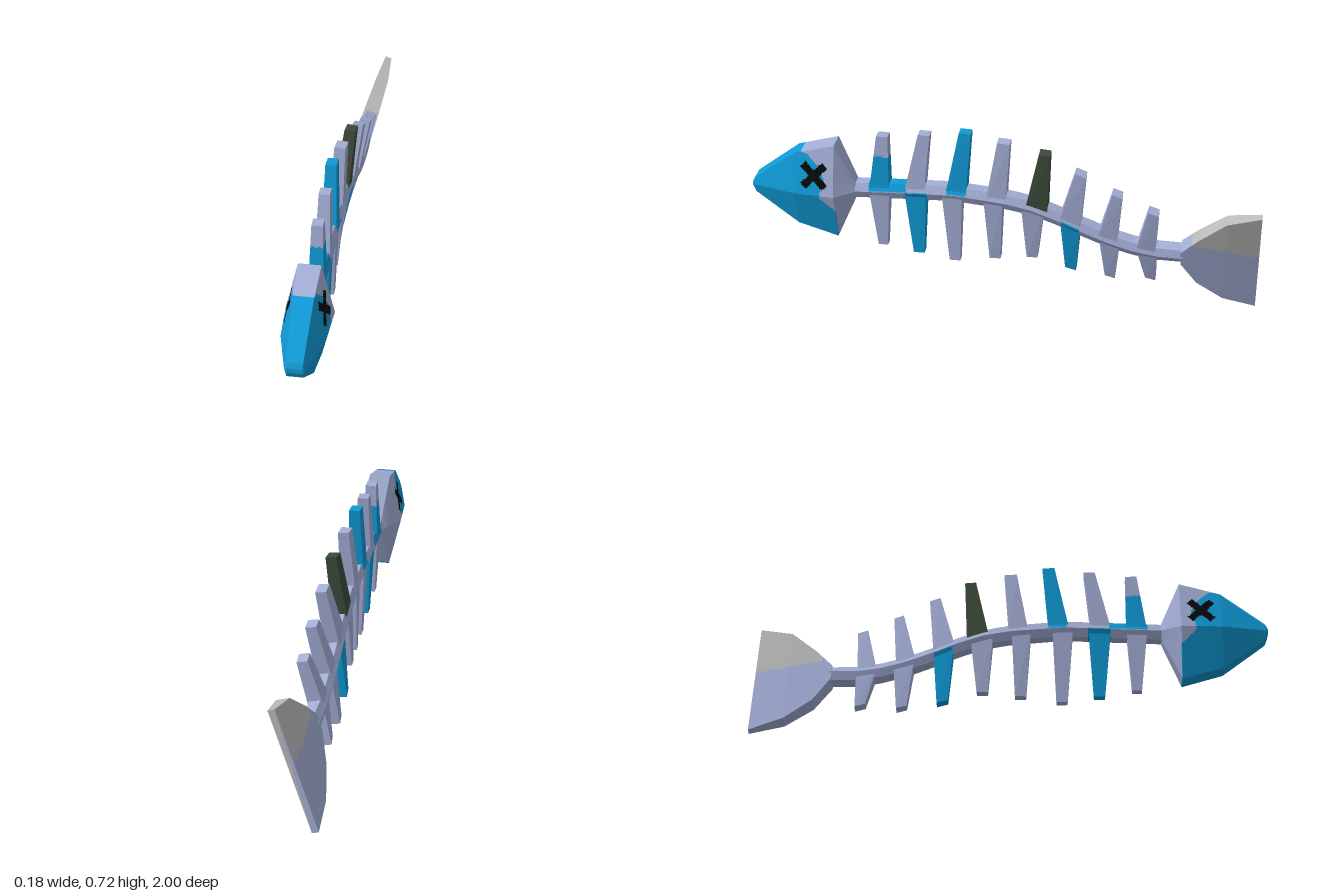
import * as THREE from 'three';

const mat = (name, color) => Object.assign(new THREE.MeshStandardMaterial({ color, flatShading: true }), { name });

// Piecewise-linear lookup in rows of [key, value], keys ascending
function lookup(rows, k) {
  if (k <= rows[0][0]) return rows[0][1];
  for (let i = 1; i < rows.length; i++) {
    const [k0, v0] = rows[i - 1], [k1, v1] = rows[i];
    if (k <= k1) return v0 + (v1 - v0) * (k - k0) / (k1 - k0);
  }
  return rows[rows.length - 1][1];
}

// Height of the backbone centre and its gradual roll towards the tail
const SPINE = [[-0.72, 0.268], [-0.6, 0.268], [-0.5, 0.283], [-0.4, 0.312], [-0.3, 0.35], [-0.2, 0.392],
  [-0.1, 0.424], [0, 0.44], [0.2, 0.455], [0.4, 0.445], [0.6, 0.435]];
const spineY = z => lookup(SPINE, z);
const roll = z => THREE.MathUtils.degToRad(17) * THREE.MathUtils.clamp((0.15 - z) / 0.9, 0, 1);

function rolled(x, y, z) {
  const a = roll(z), cy = spineY(z), dy = y - cy;
  return new THREE.Vector3(x * Math.cos(a) + dy * Math.sin(a), cy + dy * Math.cos(a) - x * Math.sin(a), z);
}

// Six-sided ring: flat top and bottom, widest at the middle
const hexRing = (z, top, mid, bottom, w, wMid) =>
  [[wMid, mid], [w, top], [-w, top], [-wMid, mid], [-w, bottom], [w, bottom]].map(([x, y]) => rolled(x, y, z));

// Lofted closed solid; each small cell takes the material chosen by paint(point)
function loft(name, rings, materials, paint = () => 0, n = 1) {
  const buckets = materials.map(() => []);
  const tri = (a, b, c) => {
    const m = a.clone().add(b).add(c).divideScalar(3);
    buckets[paint(m)].push(...a.toArray(), ...b.toArray(), ...c.toArray());
  };
  for (let i = 0; i + 1 < rings.length; i++) {
    const r = rings[i], s = rings[i + 1];
    for (let j = 0; j < r.length; j++) {
      const k = (j + 1) % r.length;
      const at = (u, v) => r[j].clone().lerp(r[k], u / n).lerp(s[j].clone().lerp(s[k], u / n), v / n);
      for (let u = 0; u < n; u++) for (let v = 0; v < n; v++) {
        const a = at(u, v), b = at(u + 1, v), c = at(u + 1, v + 1), d = at(u, v + 1);
        tri(a, b, c);
        tri(a, c, d);
      }
    }
  }
  const first = rings[0], last = rings[rings.length - 1];
  for (let j = 1; j + 1 < first.length; j++) {
    tri(first[0], first[j + 1], first[j]);
    tri(last[0], last[j], last[j + 1]);
  }
  const geo = new THREE.BufferGeometry();
  let start = 0;
  buckets.forEach((b, i) => {
    geo.addGroup(start, b.length / 3, i);
    start += b.length / 3;
  });
  geo.setAttribute('position', new THREE.Float32BufferAttribute(buckets.flat(), 3));
  geo.computeVertexNormals();
  const mesh = new THREE.Mesh(geo, materials);
  mesh.name = name;
  return mesh;
}

export function createModel() {
  const bone = mat('lavender bone', 0xa3aed6);
  const blue = mat('blue skin', 0x0f9ad6);
  const dark = mat('dark green', 0x3c4a3a);
  const grey = mat('pale grey', 0xbababa);
  const black = mat('black eye', 0x080808);
  const model = new THREE.Group();
  model.name = 'fishSkeleton';

  // Head: blue face, bone at the back, cross-shaped eyes
  const edge = [[0.36, 0.657], [0.38, 0.68], [0.42, 0.72], [0.5, 0.70], [0.55, 0.725], [0.592, 0.77], [0.6, 0.81]];
  const headPaint = p => {
    const dz = p.z - 0.74, dy = p.y - 0.508;
    const u = Math.abs(dz + dy) * Math.SQRT1_2, v = Math.abs(dz - dy) * Math.SQRT1_2;
    if (Math.min(u, v) < 0.015 && Math.max(u, v) < 0.062) return 2;
    return p.z < lookup(edge, p.y) ? 0 : 1;
  };
  model.add(loft('head', [
    hexRing(0.585, 0.47, 0.435, 0.4, 0.022, 0.038),
    hexRing(0.66, 0.635, 0.43, 0.228, 0.042, 0.09),
    hexRing(0.82, 0.59, 0.43, 0.272, 0.038, 0.08),
    hexRing(0.99, 0.46, 0.43, 0.396, 0.03, 0.038),
    hexRing(1.0, 0.44, 0.43, 0.42, 0.028, 0.034),
  ], [bone, blue, black], headPaint, 32));

  // Backbone with blue patches beside some ribs
  const spineRings = [];
  for (let i = 0; i <= 26; i++) {
    const z = -0.71 + i * 0.05, y = spineY(z);
    spineRings.push(hexRing(z, y + 0.032, y, y - 0.032, 0.022, 0.036));
  }
  const spinePaint = p => {
    const d = p.y - spineY(p.z);
    const upper = d > 0.002 && ((p.z > 0.38 && p.z < 0.53) || (p.z > 0.145 && p.z < 0.22));
    const lower = d < 0.002 && ((p.z > 0.3 && p.z < 0.385) || (p.z > -0.3 && p.z < -0.23));
    return upper || lower ? 1 : 0;
  };
  model.add(loft('backbone', spineRings, [bone, blue], spinePaint, 6));

  // Ribs: [base front z, base back z, tip front z, tip back z, tip y, colour]
  const upperRibs = [
    [0.53, 0.45, 0.495, 0.45, 0.682, bone], [0.39, 0.31, 0.33, 0.285, 0.703, bone],
    [0.225, 0.145, 0.17, 0.123, 0.725, blue], [0.065, -0.012, 0.02, -0.03, 0.703, bone],
    [-0.09, -0.175, -0.143, -0.187, 0.677, dark], [-0.222, -0.305, -0.285, -0.327, 0.61, bone],
    [-0.375, -0.45, -0.43, -0.468, 0.54, bone], [-0.525, -0.6, -0.57, -0.61, 0.478, bone],
  ];
  const lowerRibs = [
    [0.53, 0.45, 0.503, 0.465, 0.19, bone], [0.388, 0.302, 0.36, 0.317, 0.167, blue],
    [0.24, 0.16, 0.215, 0.172, 0.146, bone], [0.075, 0, 0.055, 0.012, 0.166, bone],
    [-0.073, -0.16, -0.092, -0.135, 0.18, bone], [-0.227, -0.305, -0.245, -0.288, 0.135, blue],
    [-0.38, -0.46, -0.403, -0.443, 0.11, bone], [-0.528, -0.605, -0.563, -0.603, 0.117, bone],
  ];
  const ribRing = (zf, zb, w, y) =>
    [[zf, -w], [zf, w], [zb, w], [zb, -w]].map(([z, x]) => rolled(x, y(z), z));
  const tipY = (y, zf, zb) => z => y + (zf < -0.2 ? 0.3 : 0) * (z - (zf + zb) / 2);
  upperRibs.forEach(([f, b, tf, tb, y, m], i) => {
    const rings = [ribRing(f, b, 0.029, spineY), ribRing(tf, tb, 0.021, tipY(y, tf, tb))];
    // The first rib is blue up to the middle
    if (i === 0) model.add(loft('upperRib1', rings, [bone, blue], p => (p.y < 0.595 ? 1 : 0), 24));
    else model.add(loft('upperRib' + (i + 1), rings, [m]));
  });
  lowerRibs.forEach(([f, b, tf, tb, y, m], i) => {
    const rings = [ribRing(tf, tb, 0.017, tipY(y, tf, tb)), ribRing(f, b, 0.029, spineY)];
    model.add(loft('lowerRib' + (i + 1), rings, [m]));
  });

  // Tail fin: tapering plate, grey upper half
  const tailRing = (z, top, bottom, w) =>
    [[w, bottom], [w, top], [-w, top], [-w, bottom]].map(([x, y]) => rolled(x, y, z));
  model.add(loft('tailFin', [
    tailRing(-1.0, 0.51, -0.003, 0.013),
    tailRing(-0.87, 0.475, 0.042, 0.026),
    tailRing(-0.765, 0.375, 0.128, 0.031),
    tailRing(-0.7, 0.3, 0.235, 0.034),
  ], [bone, grey], p => (p.y > 0.285 + (p.z + 1) * 0.19 && p.z < -0.74 ? 1 : 0), 24));

  return model;
}
